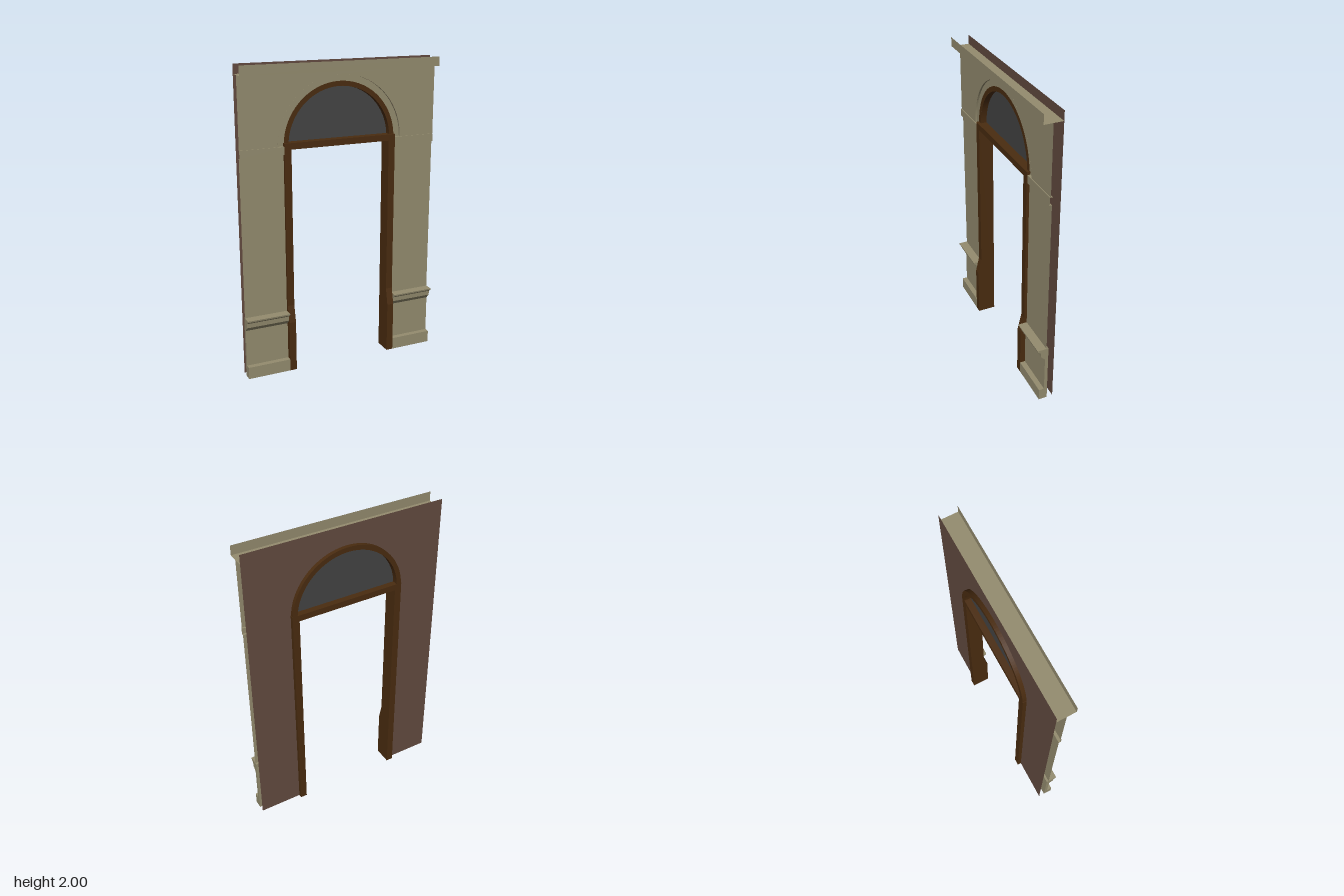
import * as THREE from 'three';

const HALF = 0.665;    // half width of the wall
const JAMB = 0.38;     // outer edge of the door frame
const SPRING = 1.495;  // height at which the arch starts

const wallPaint = new THREE.MeshStandardMaterial({ name: 'beige plaster', color: 0x948c6f, side: THREE.DoubleSide });
const backPaint = new THREE.MeshStandardMaterial({ name: 'reddish brown back', color: 0x634b40, side: THREE.DoubleSide });
const wood = new THREE.MeshStandardMaterial({ name: 'dark wood', color: 0x4a2c10, side: THREE.DoubleSide });
const glass = new THREE.MeshStandardMaterial({ name: 'dark glass', color: 0x444444, side: THREE.DoubleSide });

// Solid with a [z, y] profile, running from x0 to x1
function solidAlongX(profile, x0, x1) {
  const shape = new THREE.Shape(profile.map(([z, y]) => new THREE.Vector2(z, y)));
  const g = new THREE.ExtrudeGeometry(shape, { depth: x1 - x0, bevelEnabled: false });
  return g.rotateY(-Math.PI / 2).translate(x1, 0, 0);
}

// Open sheet following a [z, y] line from bottom to top, running from x0 to x1
function sheetAlongX(line, x0, x1) {
  const pos = [];
  for (let i = 0; i < line.length - 1; i++) {
    const [za, ya] = line[i], [zb, yb] = line[i + 1];
    pos.push(x0, ya, za, x1, ya, za, x1, yb, zb, x0, ya, za, x1, yb, zb, x0, yb, zb);
  }
  const g = new THREE.BufferGeometry();
  g.setAttribute('position', new THREE.Float32BufferAttribute(pos, 3));
  g.computeVertexNormals();
  return g;
}

// Half ring, or half disc when the inner radius is 0
function halfRing(outer, inner) {
  const s = new THREE.Shape();
  s.absarc(0, SPRING, outer, 0, Math.PI, false);
  if (inner > 0) s.absarc(0, SPRING, inner, Math.PI, 0, true);
  return s;
}

// Open half cylinder around the arch centre
function archReturn(radius, z0, z1) {
  const g = new THREE.CylinderGeometry(radius, radius, z1 - z0, 32, 1, true, Math.PI / 2, Math.PI);
  return g.rotateX(Math.PI / 2).translate(0, SPRING, (z0 + z1) / 2);
}

// Wall sheet with an arched opening reaching down to y0
function archedSheet(y0, y1, halfOpening, radius) {
  const s = new THREE.Shape();
  s.moveTo(-HALF, y0);
  s.lineTo(-halfOpening, y0);
  s.lineTo(-halfOpening, SPRING);
  s.absarc(0, SPRING, radius, Math.PI, 0, true);
  s.lineTo(halfOpening, SPRING);
  s.lineTo(halfOpening, y0);
  s.lineTo(HALF, y0);
  s.lineTo(HALF, y1);
  s.lineTo(-HALF, y1);
  return new THREE.ShapeGeometry(s, 32);
}

export function createModel() {
  const model = new THREE.Group();
  model.name = 'archedDoorway';
  const add = (name, geometry, material) => {
    const mesh = new THREE.Mesh(geometry, material);
    mesh.name = name;
    model.add(mesh);
    return mesh;
  };

  // Back face of the wall
  add('backWall', archedSheet(0, 2, JAMB, 0.375).translate(0, 0, -0.05), backPaint);

  // Upper front wall with the recessed band around the arch
  add('upperFrontWall', archedSheet(SPRING, 1.94, 0.42, 0.42).translate(0, 0, 0.012), wallPaint);
  add('archRecessEdge', archReturn(0.42, 0, 0.012), wallPaint);
  add('archRecessFace', new THREE.ShapeGeometry(halfRing(0.42, 0.37), 32), wallPaint);

  // Cornice with its shelf
  add('cornice', sheetAlongX([[-0.05, 1.94], [0.07, 1.94], [0.07, 2]], -HALF, HALF), wallPaint);

  // Side walls, bases and jambs, one for each side
  const wallLine = [[0.004, 0.41], [0.004, 1.445], [0.018, 1.445], [0.018, SPRING], [0, SPRING]];
  const baseProfile = [
    [-0.01, 0], [0.047, 0], [0.047, 0.08], [0.012, 0.08], [0.012, 0.325], [0.04, 0.355],
    [0.042, 0.385], [0.062, 0.4], [0.064, 0.41], [-0.01, 0.41],
  ];
  const jambProfile = [
    [-0.075, 0], [0.047, 0], [0.047, 0.34], [0.022, 0.45], [0.022, 1.515], [-0.075, 1.515],
  ];
  for (const [side, a, b] of [['left', 1, 0], ['right', 0, 1]]) {
    const span = (inner, outer) => (a ? [inner, outer] : [-outer * b, -inner * b]);
    add(side + 'FrontWall', sheetAlongX(wallLine, ...span(JAMB, HALF)), wallPaint);
    add(side + 'Base', solidAlongX(baseProfile, ...span(JAMB, HALF)), wallPaint);
    add(side + 'Jamb', solidAlongX(jambProfile, ...span(0.335, JAMB)), wood);
  }

  // Crossbar between door and fanlight
  const bar = [[-0.075, 1.475], [0.022, 1.475], [0.022, 1.515], [-0.075, 1.515]];
  add('crossbar', solidAlongX(bar, -0.335, 0.335), wood);

  // Arched fanlight frame: back ring, inner lining and front ring
  const backRing = new THREE.ExtrudeGeometry(halfRing(0.378, 0.347),
    { depth: 0.037, bevelEnabled: false, curveSegments: 32 });
  add('fanlightBackRing', backRing.translate(0, 0, -0.075), wood);
  add('fanlightLining', archReturn(0.347, -0.04, 0.004), wood);
  add('fanlightFrontRing', new THREE.ShapeGeometry(halfRing(0.378, 0.347), 32).translate(0, 0, 0.004), wood);

  // Fanlight pane
  add('fanlightPane', new THREE.ShapeGeometry(halfRing(0.348, 0), 32).translate(0, 0, -0.035), glass);

  return model;
}
